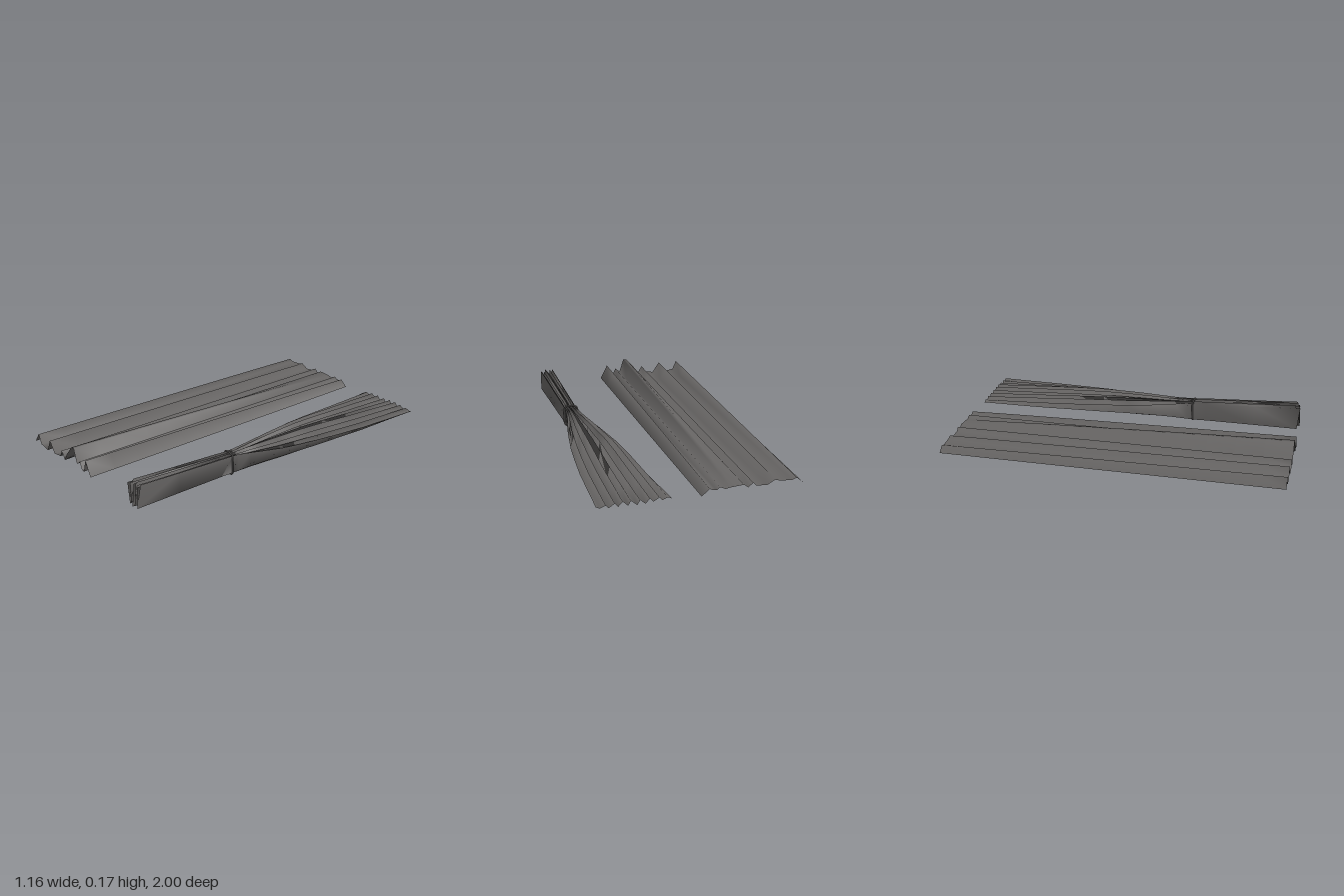
import * as THREE from 'three';

// Skin a list of equal-length cross-sections (arrays of Vector3) into an open sheet
function loft(sections) {
  const cols = sections[0].length;
  const positions = [];
  const index = [];
  sections.forEach((row) => row.forEach((p) => positions.push(p.x, p.y, p.z)));
  for (let r = 0; r < sections.length - 1; r++) {
    for (let c = 0; c < cols - 1; c++) {
      const a = r * cols + c;
      const b = a + cols;
      index.push(a, b, a + 1, a + 1, b, b + 1);
    }
  }
  const geometry = new THREE.BufferGeometry();
  geometry.setAttribute('position', new THREE.Float32BufferAttribute(positions, 3));
  geometry.setIndex(index);
  geometry.computeVertexNormals();
  return geometry;
}

// Open curtain: x, height at the top hem (z = -1), height at the bottom hem (z = 1)
const PLEATS = [
  [-0.58, 0.062, 0.06], [-0.54, 0.095, 0.117], [-0.515, 0.085, 0.062], [-0.445, 0.09, 0.05],
  [-0.415, 0.1, 0.12], [-0.37, 0.076, 0.055], [-0.305, 0.08, 0.064], [-0.288, 0.1, 0.104],
  [-0.26, 0.076, 0.056], [-0.235, 0.095, 0.1], [-0.18, 0.092, 0.165], [-0.157, 0.09, 0.166],
  [-0.13, 0.085, 0.082], [-0.1, 0.1, 0.106], [-0.08, 0.085, 0.062], [-0.06, 0.088, 0.06],
  [-0.04, 0.098, 0.135], [0.004, 0.06, 0.048],
];

// Gathered curtain: z, left edge, right edge, lowest y, highest y, squareness of the bundle
const GATHER = [
  [-1, 0.17, 0.58, 0.062, 0.094, 0], [-0.8, 0.183, 0.57, 0.046, 0.107, 0],
  [-0.6, 0.197, 0.56, 0.032, 0.12, 0], [-0.4, 0.213, 0.542, 0.022, 0.133, 0],
  [-0.25, 0.23, 0.525, 0.015, 0.14, 0.05], [-0.1, 0.257, 0.5, 0.009, 0.141, 0.12],
  [0, 0.277, 0.482, 0.007, 0.14, 0.22], [0.1, 0.302, 0.458, 0.007, 0.138, 0.4],
  [0.2, 0.327, 0.436, 0.008, 0.135, 0.65], [0.28, 0.343, 0.424, 0.01, 0.132, 0.9],
  [0.32, 0.346, 0.421, 0.011, 0.13, 1], [0.4, 0.344, 0.424, 0.014, 0.135, 1],
  [0.7, 0.342, 0.427, 0.015, 0.15, 1], [0.97, 0.34, 0.43, 0.015, 0.165, 1],
];
const FOLDS = 17;

function openCurtain() {
  const sections = [];
  for (let i = 0; i <= 12; i++) {
    const t = i / 12;
    const swell = Math.pow(t, 0.8);
    sections.push(PLEATS.map(([x, top, bottom]) =>
      new THREE.Vector3(x, THREE.MathUtils.lerp(top, bottom, swell), -1 + 2 * t)));
  }
  return loft(sections);
}

function gatheredCurtain() {
  const sections = GATHER.map(([z, left, right, low, high, square], row) => {
    const points = [];
    for (let i = 0; i <= FOLDS; i++) {
      const u = (i / FOLDS) * 2 - 1;
      // Alternate ridge and valley, shallower toward the selvedges where loose
      const depth = THREE.MathUtils.lerp(1 - 0.75 * u * u, 1, square);
      const uneven = 0.86 + 0.14 * Math.sin(i * 2.3 + 1.2);
      const side = i % 2 ? 1 : -1;
      const y = (low + high) / 2 + side * depth * uneven * (high - low) / 2;
      const shift = i > 0 && i < FOLDS ? 0.22 * Math.sin(i * 3.7) / FOLDS : 0;
      const x = THREE.MathUtils.lerp(left, right, (u + 1) / 2 + shift);
      const ragged = row === GATHER.length - 1 ? 0.015 * Math.sin(i * 1.7) : 0;
      points.push(new THREE.Vector3(x, y, z + ragged));
    }
    return points;
  });
  return loft(sections);
}

// Cord wound around the bundle
function tieBand() {
  const loop = [];
  for (let i = 0; i < 16; i++) {
    const a = (i / 16) * Math.PI * 2;
    const c = Math.cos(a);
    const s = Math.sin(a);
    loop.push(new THREE.Vector3(
      0.383 + 0.043 * Math.sign(c) * Math.sqrt(Math.abs(c)),
      0.07 + 0.065 * Math.sign(s) * Math.sqrt(Math.abs(s)),
      0.32 + 0.005 * c));
  }
  return new THREE.TubeGeometry(new THREE.CatmullRomCurve3(loop, true), 48, 0.005, 6, true);
}

export function createModel() {
  const fabric = new THREE.MeshStandardMaterial({ color: 0x666463, side: THREE.DoubleSide });
  fabric.name = 'greyFabric';
  const group = new THREE.Group();
  group.name = 'curtains';
  const add = (name, geometry) => {
    const mesh = new THREE.Mesh(geometry, fabric);
    mesh.name = name;
    group.add(mesh);
  };
  add('openCurtain', openCurtain());
  add('gatheredCurtain', gatheredCurtain());
  add('tieBand', tieBand());
  return group;
}
